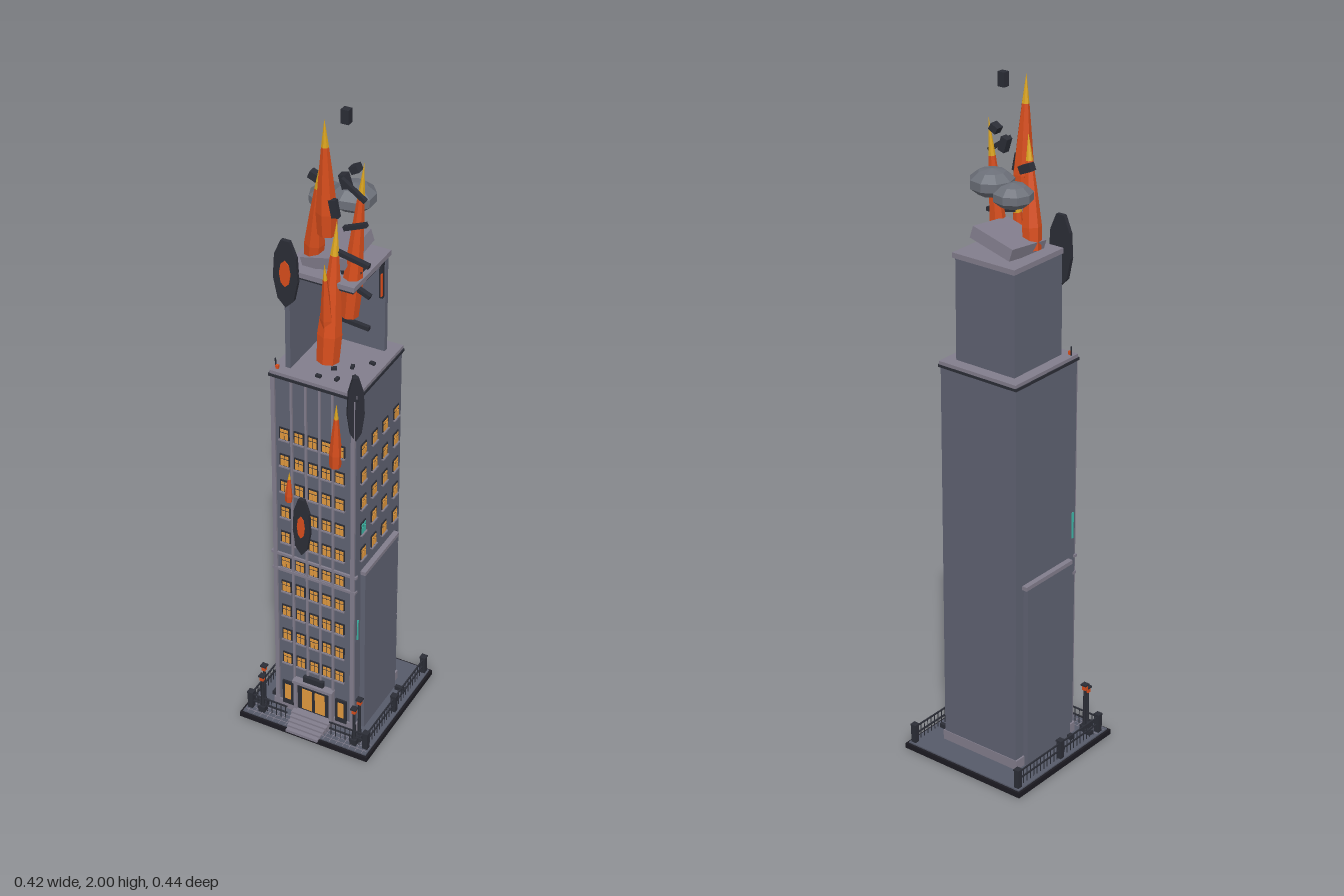
import * as THREE from 'three';

const mat = (name, color, extra = {}) => {
  const m = new THREE.MeshStandardMaterial({ color, flatShading: true, ...extra });
  m.name = name;
  return m;
};

export function createModel() {
  const wall = mat('slate wall', 0x5f6272);
  const trim = mat('pale stone', 0x827d8c);
  const ground = mat('pavement', 0x565a69);
  const dark = mat('charcoal', 0x2b2d36);
  const black = mat('soot', 0x1c1b22);
  const smoke = mat('smoke', 0x6c7079);
  const amber = mat('lit glass', 0xe0983e);
  const red = mat('flame orange', 0xd64d1c);
  const gold = mat('flame tip', 0xdca51f);
  const teal = mat('teal glass', 0x3fb8a8);

  const root = new THREE.Group();
  root.name = 'burningTower';
  const add = (name, geo, m, x, y, z, parent = root) => {
    const o = new THREE.Mesh(geo, m);
    o.name = name;
    o.position.set(x, y, z);
    parent.add(o);
    return o;
  };
  const box = (name, m, w, h, d, x, y, z, parent) =>
    add(name, new THREE.BoxGeometry(w, h, d), m, x, y, z, parent);
  // Box given by its limits on each axis
  const span = (name, m, x0, x1, y0, y1, z0, z1) =>
    box(name, m, x1 - x0, y1 - y0, z1 - z0, (x0 + x1) / 2, (y0 + y1) / 2, (z0 + z1) / 2);

  // Plinth and pavement
  span('plinth', black, -0.21, 0.21, 0, 0.016, -0.22, 0.21);
  span('pavement', ground, -0.203, 0.203, 0.016, 0.02, -0.213, 0.203);
  for (let i = -9; i <= 9; i++) box('pavingJoint', trim, 0.0015, 0.001, 0.043, i * 0.021, 0.0203, 0.181);
  for (const z of [0.16, 0.175, 0.19]) box('pavingJoint', trim, 0.4, 0.001, 0.0015, 0, 0.0203, z);

  // Main tower, side wings and roof
  span('mainTower', wall, -0.13, 0.13, 0.02, 1.2, -0.135, 0.13);
  span('mainRoof', trim, -0.132, 0.132, 1.205, 1.218, -0.14, 0.132);
  span('cornice', dark, -0.135, 0.135, 1.2, 1.208, -0.141, 0.135);
  span('towerFoot', trim, -0.135, 0.135, 0.02, 0.05, -0.137, 0.135);
  for (const s of [-1, 1]) {
    box('sideWing', wall, 0.03, 0.57, 0.2, s * 0.13, 0.305, 0);
    box('wingCap', trim, 0.032, 0.012, 0.208, s * 0.13, 0.596, -0.003);
    box('roofBeacon', red, 0.008, 0.01, 0.008, s * 0.117, 1.223, 0.115);
    box('roofPole', dark, 0.003, 0.03, 0.003, s * 0.125, 1.23, 0.11);
  }
  box('beltCourse', trim, 0.27, 0.008, 0.012, 0, 0.6, 0.13);
  box('beltCourse', trim, 0.264, 0.008, 0.014, 0, 0.545, 0.13);

  // Front pilasters
  for (const x of [-0.122, -0.066, -0.022, 0.02, 0.06, 0.122])
    box('pilaster', trim, Math.abs(x) > 0.1 ? 0.012 : 0.006, 1.15, 0.008, x, 0.625, 0.132);

  // Windows: dark frame, two panes, sill
  const windowAt = (x, y, z, turn, glass = amber) => {
    const g = new THREE.Group();
    g.name = 'window';
    g.position.set(x, y, z);
    g.rotation.y = turn;
    box('windowFrame', dark, 0.031, 0.04, 0.004, 0, 0, 0, g);
    for (const s of [-1, 1]) {
      box('windowPane', glass, 0.011, 0.02, 0.003, s * 0.0065, -0.007, 0.002, g);
      box('upperPane', glass, 0.011, 0.009, 0.003, s * 0.0065, 0.011, 0.002, g);
    }
    box('windowSill', trim, 0.033, 0.004, 0.009, 0, -0.021, 0.002, g);
    root.add(g);
  };
  for (let r = 0; r < 10; r++) {
    const y = 1.02 - r * 0.0892;
    for (const x of [-0.089, -0.044, -0.001, 0.04, 0.081]) windowAt(x, y, 0.131, 0);
    for (const z of [0.09, 0.026, -0.037, -0.103])
      if (r < 5 || z < -0.1) windowAt(0.131, y, z, Math.PI / 2, r === 3 && z > 0.08 ? teal : amber);
  }
  box('tealStrip', teal, 0.004, 0.07, 0.006, 0.131, 0.4, 0.118);
  box('tealStrip', teal, 0.004, 0.08, 0.006, -0.131, 0.7, 0.118);

  // Entrance with double door, side lights and canopy
  box('doorSurround', dark, 0.105, 0.11, 0.012, 0, 0.092, 0.135);
  for (const s of [-1, 1]) {
    box('door', amber, 0.032, 0.075, 0.004, s * 0.021, 0.088, 0.141);
    box('doorColumn', trim, 0.01, 0.12, 0.018, s * 0.058, 0.09, 0.138);
    box('sideDoorFrame', dark, 0.036, 0.085, 0.006, s * 0.087, 0.085, 0.134);
    box('sideDoorGlass', amber, 0.02, 0.055, 0.003, s * 0.087, 0.09, 0.137);
  }
  box('canopy', trim, 0.13, 0.01, 0.025, 0, 0.15, 0.14);
  box('signPlate', dark, 0.065, 0.02, 0.012, 0, 0.167, 0.139);
  for (let i = 0; i < 5; i++)
    span('step', trim, -0.062 + i * 0.0025, 0.062 - i * 0.0025, 0.012, 0.045 - i * 0.006, 0.13, 0.165 + i * 0.013);

  // Fence, posts and lamps
  for (const s of [-1, 1]) {
    for (const z of [-0.2, -0.005, 0.175]) {
      box('fencePost', dark, 0.016, 0.055, 0.016, s * 0.19, 0.047, z);
      box('postCap', dark, 0.019, 0.005, 0.019, s * 0.19, 0.077, z);
    }
    for (const y of [0.045, 0.068]) {
      box('sideRail', dark, 0.004, 0.004, 0.375, s * 0.19, y, -0.012);
      box('frontRail', dark, 0.12, 0.004, 0.004, s * 0.13, y, 0.175);
    }
    for (let i = 0; i < 24; i++) box('sideBar', dark, 0.002, 0.05, 0.002, s * 0.19, 0.045, -0.19 + i * 0.0155);
    for (let i = 0; i < 8; i++) box('frontBar', dark, 0.002, 0.05, 0.002, s * (0.075 + i * 0.0155), 0.045, 0.175);
    for (const [x, z, h] of [[0.157, 0.153, 0.15], [0.151, 0.175, 0.13]]) {
      box('lampBase', dark, 0.02, 0.02, 0.02, s * x, 0.03, z);
      add('lampPole', new THREE.CylinderGeometry(0.004, 0.006, h, 6), dark, s * x, 0.02 + h / 2, z);
      box('lampGlass', red, 0.012, 0.014, 0.012, s * x, 0.015 + h, z);
      box('lampCap', dark, 0.018, 0.005, 0.018, s * x, 0.025 + h, z);
    }
  }

  // Torn upper storey: two walls still carry the roof slab
  span('upperBackWall', wall, -0.1, 0.1, 1.218, 1.515, -0.105, -0.09);
  span('upperLeftWall', wall, -0.1, -0.085, 1.218, 1.515, -0.09, 0.1);
  span('upperRoof', trim, -0.105, 0.105, 1.513, 1.528, -0.112, 0.1);
  span('upperCeiling', dark, -0.084, 0.1, 1.505, 1.512, -0.089, 0.095);
  box('tiltedRoofSlab', trim, 0.14, 0.035, 0.145, 0, 1.56, -0.006).rotation.set(0.1, 0, 0.25);
  box('brokenStub', dark, 0.01, 0.11, 0.012, 0.094, 1.45, -0.08);
  box('emberStrip', red, 0.004, 0.07, 0.006, 0.099, 1.44, -0.07);

  // Flames: bulging base, tapering to a gold tip
  const up = new THREE.Vector3(0, 1, 0);
  const flame = (b, t, r, sides = 7) => {
    const base = new THREE.Vector3(...b), dir = new THREE.Vector3(...t).sub(base), h = dir.length();
    const g = new THREE.Group();
    g.name = 'flame';
    g.position.copy(base);
    g.quaternion.setFromUnitVectors(up, dir.normalize());
    const part = (name, m, pts) =>
      add(name, new THREE.LatheGeometry(pts.map(([k, y]) => new THREE.Vector2(k * r, y * h)), sides), m, 0, 0, 0, g);
    part('flameBody', red, [[0, 0], [0.9, 0], [1, 0.2], [0.68, 0.5], [0.36, 0.76]]);
    part('flameTip', gold, [[0.36, 0.76], [0, 1]]);
    root.add(g);
  };
  flame([0.01, 1.65, 0.068], [0.012, 1.99, 0.085], 0.029);
  flame([-0.05, 1.53, 0.033], [-0.015, 1.84, 0.06], 0.028);
  flame([0.068, 1.41, 0.055], [0.1, 1.87, 0.036], 0.028);
  flame([0.035, 1.29, 0.112], [0.042, 1.7, 0.075], 0.034);
  flame([0.035, 1.38, 0.115], [0.035, 1.6, 0.13], 0.018, 5);
  flame([0.07, 0.97, 0.137], [0.075, 1.18, 0.14], 0.018, 6);
  flame([-0.075, 0.8, 0.136], [-0.072, 0.9, 0.138], 0.012, 6);

  // Scorched blast holes with glowing cores
  const blast = (x, y, z, w, h, turn, core) => {
    const g = new THREE.Group();
    g.name = 'blastHole';
    g.position.set(x, y, z);
    g.rotation.y = turn;
    const ring = add('scorchedRim', new THREE.CylinderGeometry(1, 1, 0.012, 9), dark, 0, 0, 0, g);
    ring.rotation.x = Math.PI / 2;
    ring.scale.set(w, 1, h);
    if (core) {
      const glow = add('glowingCore', new THREE.CylinderGeometry(1, 1, 0.008, 8), red, 0, 0, 0.005, g);
      glow.rotation.x = Math.PI / 2;
      glow.scale.set(w * 0.45, 1, h * 0.38);
    }
    root.add(g);
  };
  blast(-0.092, 1.52, 0.104, 0.037, 0.105, 0, true);
  blast(-0.032, 0.73, 0.141, 0.027, 0.1, 0, true);
  blast(0.126, 1.175, 0.128, 0.024, 0.105, 0.7, false);

  // Smoke puffs
  for (const [x, y, z, r] of [[-0.035, 1.695, -0.03, 0.058], [0.035, 1.717, -0.03, 0.064]])
    add('smokePuff', new THREE.SphereGeometry(r, 9, 5), smoke, x, y, z).scale.y = 0.6;

  // Flying beams and rubble: size, position, tilt
  const debris = [
    [0.085, 0.012, 0.012, 0.08, 1.79, 0.058, -0.6], [0.1, 0.012, 0.014, 0.088, 1.6, 0.077, -0.2],
    [0.07, 0.012, 0.014, 0.09, 1.69, 0.065, 0.4], [0.07, 0.012, 0.014, 0.1, 1.5, 0.06, -0.4],
    [0.08, 0.012, 0.012, 0.095, 1.4, 0.07, -0.1], [0.022, 0.04, 0.02, 0.045, 1.98, 0.03, 0],
    [0.04, 0.022, 0.022, -0.055, 1.765, 0.003, -0.4], [0.022, 0.04, 0.022, 0.048, 1.8, 0.04, 0.3],
    [0.025, 0.02, 0.025, 0.075, 1.84, 0.035, 0.5], [0.02, 0.05, 0.016, 0.04, 1.74, 0.085, 0.2],
    [0.06, 0.02, 0.03, 0.07, 1.545, 0.04, 0.3],
  ];
  for (const [w, h, d, x, y, z, a] of debris) box('flyingDebris', dark, w, h, d, x, y, z).rotation.z = a;
  for (const [x, z] of [[0.02, 0.05], [0.06, 0.02], [0.09, 0.06], [0.05, 0.09], [0, 0.1], [0.1, -0.02]])
    box('roofRubble', dark, 0.016, 0.008, 0.01, x, 1.221, z).rotation.y = x * 30;
  for (const [w, d, x, z] of [[0.018, 0.012, -0.167, 0.03], [0.032, 0.011, 0.167, -0.092],
    [0.02, 0.014, -0.178, 0.145], [0.016, 0.016, -0.152, 0.093], [0.014, 0.012, 0.14, 0.15]])
    box('groundRubble', dark, w, 0.014, d, x, 0.026, z);

  return root;
}
